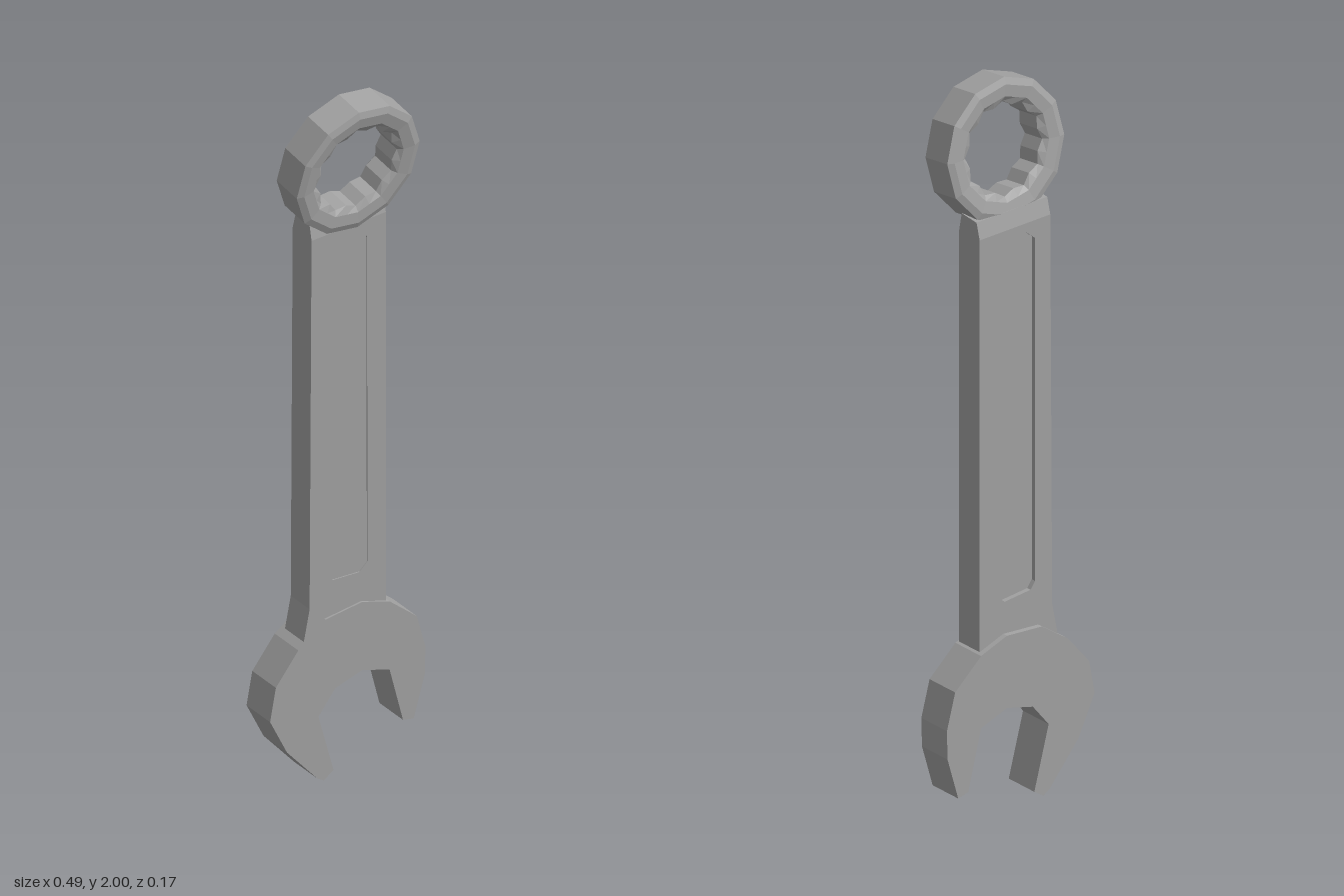
import * as THREE from 'three';

const steel = new THREE.MeshStandardMaterial({ color: 0xa2a2a2, flatShading: true });
steel.name = 'steel grey';

function add(group, name, geometry) {
  const mesh = new THREE.Mesh(geometry, steel);
  mesh.name = name;
  group.add(mesh);
  return mesh;
}

const toVectors = (points) => points.map(([x, y]) => new THREE.Vector2(x, y));

// Flat plate between two z values, with an optional hole
function plate(points, z0, z1, hole) {
  const shape = new THREE.Shape(toVectors(points));
  if (hole) shape.holes.push(new THREE.Path(toVectors(hole)));
  const geometry = new THREE.ExtrudeGeometry(shape, { depth: z1 - z0, bevelEnabled: false });
  return geometry.translate(0, 0, z0);
}

// Ring skinned from closed loops: twelve-sided outside, twelve-point star inside
function ringGeometry() {
  const n = 24;
  const start = THREE.MathUtils.degToRad(95);
  const flat = Math.cos(Math.PI / 12);
  // [corner radius, mid-edge radius, z], from outer front round the back to the hole
  const loops = [
    [0.191, 0.191 * flat, 0.043], [0.191, 0.191 * flat, -0.043],
    [0.172, 0.172 * flat, -0.049], [0.14, 0.14 * flat, -0.045], [0.126, 0.114, -0.034],
    [0.126, 0.114, 0.034], [0.14, 0.14 * flat, 0.045], [0.172, 0.172 * flat, 0.049],
  ];
  const positions = [];
  const indices = [];
  loops.forEach(([corner, mid, z], i) => {
    for (let j = 0; j < n; j++) {
      const a = start + (j / n) * Math.PI * 2;
      const r = j % 2 ? mid : corner;
      positions.push(r * Math.cos(a), r * Math.sin(a), z);
      const k = (j + 1) % n;
      const next = (i + 1) % loops.length;
      const A = i * n + j, B = next * n + j, C = i * n + k, D = next * n + k;
      indices.push(A, B, C, B, D, C);
    }
  });
  const geometry = new THREE.BufferGeometry();
  geometry.setAttribute('position', new THREE.Float32BufferAttribute(positions, 3));
  geometry.setIndex(indices);
  geometry.computeVertexNormals();
  return geometry;
}

export function createModel() {
  const wrench = new THREE.Group();
  wrench.name = 'combinationWrench';

  // Open jaw, turned to one side
  add(wrench, 'openJaw', plate([
    [-0.075, 0], [-0.045, 0.02], [-0.092, 0.195], [-0.04, 0.26], [0.045, 0.283],
    [0.13, 0.253], [0.172, 0.088], [0.205, 0.08], [0.24, 0.2], [0.242, 0.28],
    [0.215, 0.38], [0.13, 0.455], [0.045, 0.485], [-0.07, 0.475], [-0.155, 0.415],
    [-0.225, 0.33], [-0.243, 0.235], [-0.19, 0.125], [-0.095, 0.013],
  ], -0.085, 0.015));

  // Handle: a core with raised frames that leave a recess on each face
  const handle = new THREE.Group();
  handle.name = 'handle';
  wrench.add(handle);
  const outline = [
    [-0.14, 0.4], [0.122, 0.4], [0.122, 1.61], [-0.11, 1.61], [-0.116, 0.52],
  ];
  const recess = [
    [-0.06, 0.6], [-0.045, 0.58], [0.04, 0.573], [0.065, 0.595],
    [0.063, 1.56], [0.045, 1.578], [-0.03, 1.585], [-0.06, 1.56],
  ];
  add(handle, 'handleCore', plate(outline, -0.057, 0.007));
  add(handle, 'handleBackFrame', plate(outline, -0.07, -0.057, recess));
  add(handle, 'handleFrontFrame', plate(outline, 0.007, 0.01, recess));

  // Neck that tapers from the handle into the ring
  const neck = plate([[-0.01, 1.61], [0.07, 1.61], [0.058, 1.655], [0.0, 1.66]], -0.11, 0.122);
  neck.rotateY(Math.PI / 2);
  // after the turn, the profile runs along -z and the width along x
  add(wrench, 'neck', neck);

  // Box-end ring, leaning forward
  const ring = add(wrench, 'boxRing', ringGeometry());
  ring.position.set(0.003, 1.807, 0.012);
  ring.rotation.x = THREE.MathUtils.degToRad(7.8);

  return wrench;
}
